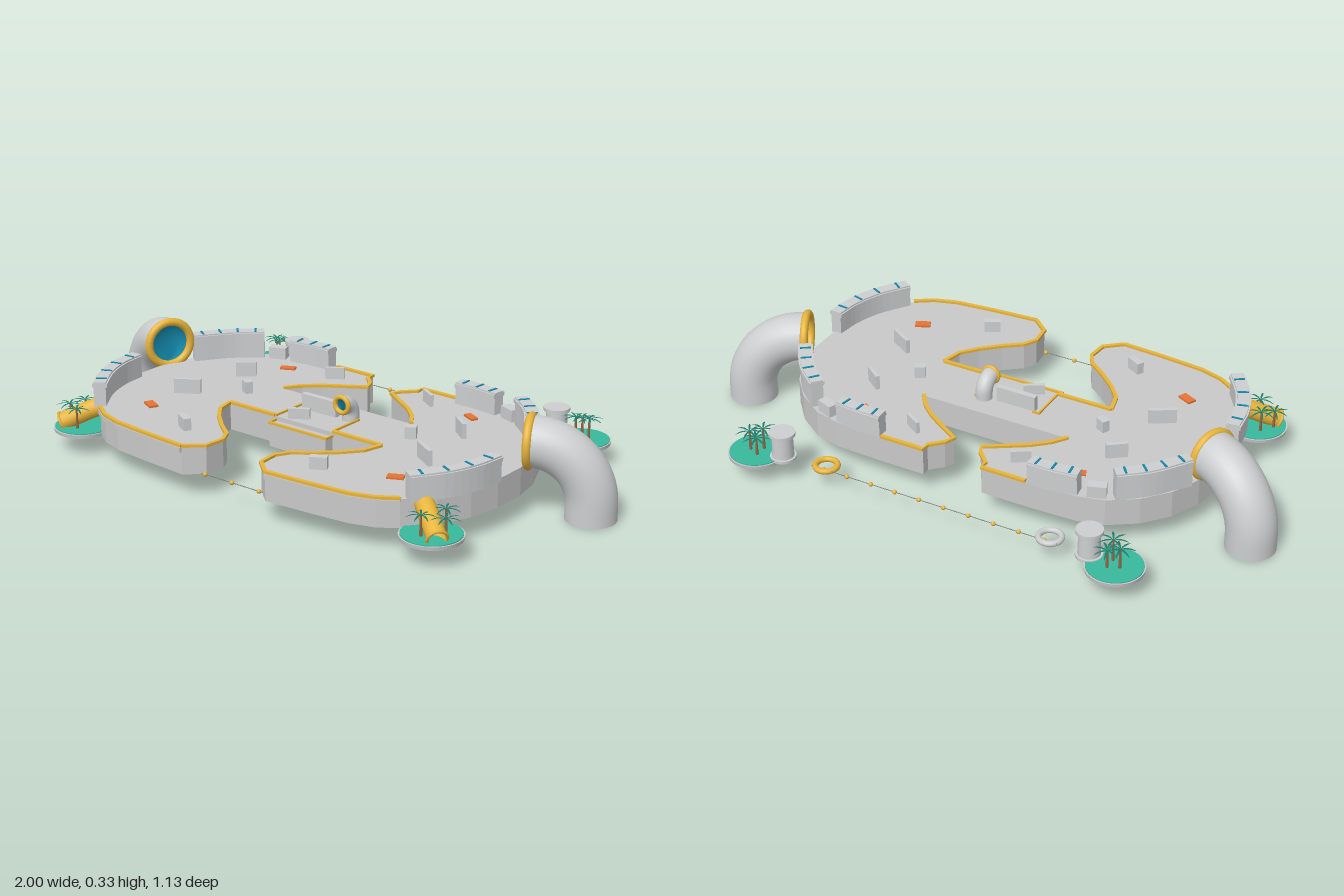
import * as THREE from 'three';

const mat = (name, color, side = THREE.FrontSide) => {
  const m = new THREE.MeshStandardMaterial({ color, side });
  m.name = name;
  return m;
};

export function createModel() {
  const root = new THREE.Group();
  root.name = 'floatingArena';
  const grey = mat('deckGrey', 0xc9c9c9);
  const pale = mat('paleGrey', 0xcccecf, THREE.DoubleSide);
  const yellow = mat('yellowTrim', 0xe8b53c, THREE.DoubleSide);
  const teal = mat('islandTeal', 0x38b89c);
  const leafGreen = mat('leafGreen', 0x1f7a66, THREE.DoubleSide);
  const brown = mat('trunkBrown', 0x966544);
  const orange = mat('orangePad', 0xf47a38);
  const blue = mat('waterBlue', 0x1488aa, THREE.DoubleSide);
  const dark = mat('ropeGrey', 0x85857c);

  const TOP = 0.165, BOTTOM = 0.073;
  const V = (x, y, z) => new THREE.Vector3(x, y, z);
  const add = (name, geo, material, x = 0, y = 0, z = 0, ry = 0, parent = root) => {
    const m = new THREE.Mesh(geo, material);
    m.name = name;
    m.position.set(x, y, z);
    m.rotation.y = ry;
    parent.add(m);
    return m;
  };
  const box = (name, w, h, d, material, x, y, z, ry = 0) =>
    add(name, new THREE.BoxGeometry(w, h, d), material, x, y, z, ry);
  const cyl = (name, r1, r2, h, n, material, x, y, z) =>
    add(name, new THREE.CylinderGeometry(r1, r2, h, n), material, x, y, z);

  // Upright prism from a plan outline of [x, z] points
  const prism = (name, pts, y0, y1, material) => {
    const shape = new THREE.Shape(pts.map(([x, z]) => new THREE.Vector2(x, z)));
    const g = new THREE.ExtrudeGeometry(shape, { depth: y1 - y0, bevelEnabled: false });
    g.rotateX(Math.PI / 2);
    return add(name, g, material, 0, y1, 0);
  };
  // Plan outline of a band of given width along a path
  const band = (pts, w) => {
    const side = (s) => pts.map(([x, z], i) => {
      const a = pts[Math.max(i - 1, 0)], b = pts[Math.min(i + 1, pts.length - 1)];
      const dx = b[0] - a[0], dz = b[1] - a[1], l = Math.hypot(dx, dz);
      return [x - (dz / l) * w * s / 2, z + (dx / l) * w * s / 2];
    });
    return [...side(1), ...side(-1).reverse()];
  };
  const flip = (pts, s) => pts.map(([x, z]) => [x * s, z]);

  // Deck: two lobes joined by a bridge
  const backNotch = [[0.265, -0.05], [0.23, -0.1], [0.18, -0.145], [0.11, -0.19], [0.05, -0.228], [0.065, -0.26], [0.105, -0.3], [0.105, -0.328]];
  const outer = [[0.27, -0.328], [0.43, -0.322], [0.52, -0.3], [0.61, -0.24], [0.68, -0.16], [0.725, -0.06], [0.745, 0.04],
    [0.745, 0.16], [0.725, 0.27], [0.68, 0.38], [0.61, 0.465]];
  const frontLip = [[0.61, 0.465], [0.55, 0.505], [0.47, 0.53], [0.32, 0.545], [0.17, 0.555]];
  const frontNotch = [[0.17, 0.555], [0.112, 0.505], [0.105, 0.435], [0.13, 0.39], [0.19, 0.345], [0.25, 0.29], [0.295, 0.235], [0.312, 0.165]];
  const half = [...backNotch, ...outer, ...frontLip.slice(1), ...frontNotch.slice(1)];
  prism('deck', [...half, ...flip(half, -1).reverse()], BOTTOM, TOP, grey);

  // Centre stage
  box('centreStage', 0.23, 0.077, 0.04, grey, 0, 0.1115, 0.18);
  box('stageFrontTrim', 0.24, 0.008, 0.008, yellow, 0, 0.153, 0.198);
  box('stageCover', 0.14, 0.052, 0.02, pale, -0.028, TOP + 0.026, 0.048);
  box('stageBar', 0.07, 0.035, 0.014, pale, -0.045, TOP + 0.0175, 0.135, 0.55);

  // Pipe elbow with a blue lining, rising from the base and turning towards dir
  const elbow = (name, base, dir, rise, bend, r, rim) => {
    const pts = [base.clone(), base.clone().add(V(0, rise / 2, 0))];
    for (let i = 0; i <= 10; i++) {
      const a = (i / 10) * Math.PI / 2;
      pts.push(base.clone().add(V(0, rise + Math.sin(a) * bend, 0)).addScaledVector(dir, (1 - Math.cos(a)) * bend));
    }
    const end = pts[pts.length - 1].clone().addScaledVector(dir, rim * 0.6);
    pts.push(end);
    const path = new THREE.CatmullRomCurve3(pts);
    add(name, new THREE.TubeGeometry(path, 32, r, 28), pale);
    add(name + 'Lining', new THREE.TubeGeometry(path, 32, r * 0.88, 28), blue);
    add(name + 'Foot', new THREE.RingGeometry(r * 0.88, r, 28).rotateX(Math.PI / 2), pale, base.x, base.y, base.z);
    add(name + 'Rim', new THREE.TorusGeometry(r * 0.94, rim, 10, 32), yellow, end.x, end.y, end.z, Math.atan2(dir.x, dir.z));
  };
  elbow('stagePipe', V(0.088, TOP, 0.037), V(0, 0, 1), 0.02, 0.042, 0.028, 0.008);

  // Palm: slim trunk with a flat crown of narrow fronds
  const palm = (x, z, h, turn) => {
    const g = new THREE.Group();
    g.name = 'palm';
    g.position.set(x, 0.08, z);
    root.add(g);
    add('trunk', new THREE.CylinderGeometry(0.003, 0.005, h, 6), brown, 0, h / 2, 0, 0, g);
    for (let i = 0; i < 7; i++) {
      const leaf = new THREE.PlaneGeometry(0.008, 0.046, 2, 4).rotateX(Math.PI / 2).translate(0, 0, 0.023);
      const p = leaf.attributes.position;
      for (let k = 0; k < p.count; k++) {
        const t = p.getZ(k) / 0.046;
        p.setX(k, p.getX(k) * (0.25 + 2.5 * t * (1 - t)));
        p.setY(k, 0.024 * t - 0.026 * t * t - Math.abs(p.getX(k)) * 0.4);
      }
      leaf.computeVertexNormals();
      add('frond', leaf, leafGreen, 0, h, 0, turn + (i * Math.PI * 2) / 7, g);
    }
  };
  const island = (x, z, r) => {
    cyl('islandBase', r, r * 0.98, 0.012, 32, grey, x, 0.071, z);
    cyl('islandTop', r * 0.95, r * 0.95, 0.006, 32, teal, x, 0.077, z);
  };

  // Perimeter walls: path, height of the top, stripe count
  const walls = [
    { pts: [[0.265, -0.308], [0.345, -0.308], [0.43, -0.298]], top: 0.24, n: 3 },
    { pts: [[0.535, -0.268], [0.62, -0.195], [0.7, -0.085]], top: 0.258, n: 4 },
    { pts: [[0.737, 0.16], [0.725, 0.255], [0.69, 0.35], [0.625, 0.45]], top: 0.245, n: 4 },
  ];
  // Cover blocks: x, z, length, width, height, turn
  const covers = [
    [0.195, -0.235, 0.065, 0.012, 0.04, -0.55], [0.445, -0.068, 0.07, 0.014, 0.05, -0.65],
    [0.338, 0.05, 0.036, 0.026, 0.04, 0.5], [0.487, 0.18, 0.09, 0.014, 0.05, -0.55],
    [0.273, 0.427, 0.055, 0.025, 0.04, 0.5],
  ];

  for (const s of [1, -1]) {
    // Yellow edging above a grey bumper
    [[...backNotch, [0.26, -0.328]], frontLip, frontNotch, [[0.312, 0.165], [0.12, 0.165]]].forEach((p) =>
      prism('edgeTrim', band(flip(p, s), 0.013), TOP - 0.001, TOP + 0.008, yellow));
    prism('frontBumper', band(flip(frontLip, s), 0.016), TOP - 0.018, TOP - 0.002, grey);
    box('stageSideTrim', 0.006, 0.008, 0.135, yellow, s * 0.117, TOP + 0.003, 0.098);
    box('stageBackTrim', 0.025, 0.008, 0.006, yellow, s * 0.106, TOP + 0.003, 0.031);
    box('stageCornerTrim', 0.006, 0.008, 0.04, yellow, s * 0.117, 0.153, 0.18);

    // Walls with wider caps and fine cross stripes
    walls.forEach(({ pts, top, n }) => {
      const curve = new THREE.CatmullRomCurve3(pts.map(([x, z]) => V(x * s, 0, z)));
      const path = curve.getSpacedPoints(12).map((p) => [p.x, p.z]);
      prism('wall', band(path, 0.04), TOP - 0.005, top - 0.016, pale);
      prism('wallCap', band(path, 0.05), top - 0.018, top - 0.005, pale);
      prism('wallCrown', band(path, 0.04), top - 0.006, top, pale);
      for (let i = 0; i < n; i++) {
        const u = (i + 0.5) / n, p = curve.getPointAt(u), t = curve.getTangentAt(u);
        box('wallStripe', 0.007, 0.003, 0.036, blue, p.x, top + 0.001, p.z, Math.atan2(-t.z, t.x));
      }
    });
    box('lowBlock', 0.06, 0.04, 0.035, pale, s * 0.485, TOP + 0.02, -0.285, -s * 0.35);

    covers.forEach(([x, z, l, w, h, a]) => box('cover', l, h, w, pale, s * x, TOP + h / 2, z, s * a));
    box('orangePad', 0.052, 0.007, 0.024, orange, s * 0.382, TOP + 0.0035, -0.212, -s * 0.45);
    box('orangePad', 0.052, 0.007, 0.03, orange, s * 0.5, TOP + 0.0035, 0.342, s * 0.45);

    // Large side pipes
    elbow('sidePipe', V(s * 0.918, 0, -0.09), V(-s * 0.91, 0, 0.415).normalize(), 0.05, 0.185, 0.081, 0.014);

    // Front islands with slides
    island(s * 0.71, 0.445, 0.099);
    [[0.735, 0.41, 0.07], [0.765, 0.45, 0.06], [0.7, 0.485, 0.066]].forEach(([x, z, h], i) => palm(s * x, z, h, i));
    const path = new THREE.CatmullRomCurve3([V(s * 0.65, 0.15, 0.405), V(s * 0.685, 0.135, 0.432), V(s * 0.725, 0.112, 0.462), V(s * 0.762, 0.09, 0.49)]);
    add('slide', new THREE.TubeGeometry(path, 14, 0.031, 16), yellow);
    for (const u of [0, 1]) {
      const p = path.getPointAt(u);
      const rim = add('slideRim', new THREE.TorusGeometry(0.031, 0.005, 8, 20), yellow, p.x, p.y, p.z);
      rim.quaternion.setFromUnitVectors(V(0, 0, 1), path.getTangentAt(u));
    }

    // Back islands with round towers
    island(s * 0.64, -0.473, 0.094);
    [[0.625, -0.455, 0.074], [0.66, -0.48, 0.068], [0.625, -0.495, 0.06]].forEach(([x, z, h], i) => palm(s * x, z, h, i + 0.5));
    cyl('tower', 0.034, 0.036, 0.085, 24, pale, s * 0.548, 0.117, -0.46);
    cyl('towerLid', 0.043, 0.043, 0.012, 24, pale, s * 0.548, 0.165, -0.46);
    cyl('towerFoot', 0.043, 0.043, 0.01, 24, pale, s * 0.548, 0.078, -0.46);

    // Swim rings
    add('swimRing', new THREE.TorusGeometry(0.036, 0.01, 10, 28).rotateX(Math.PI / 2), s > 0 ? yellow : pale, s * 0.402, 0.073, -0.433);
  }

  // Float lines
  const floatLine = (x0, x1, z, n) => {
    const rope = new THREE.CylinderGeometry(0.0013, 0.0013, x1 - x0, 6).rotateZ(Math.PI / 2);
    add('rope', rope, dark, (x0 + x1) / 2, 0.076, z);
    for (let i = 0; i < n; i++)
      add('float', new THREE.SphereGeometry(0.0075, 10, 8), yellow, x0 + ((x1 - x0) * (i + 0.5)) / n, 0.076, z);
  };
  floatLine(-0.44, 0.44, -0.46, 10);
  floatLine(-0.165, 0.165, 0.515, 3);
  return root;
}
